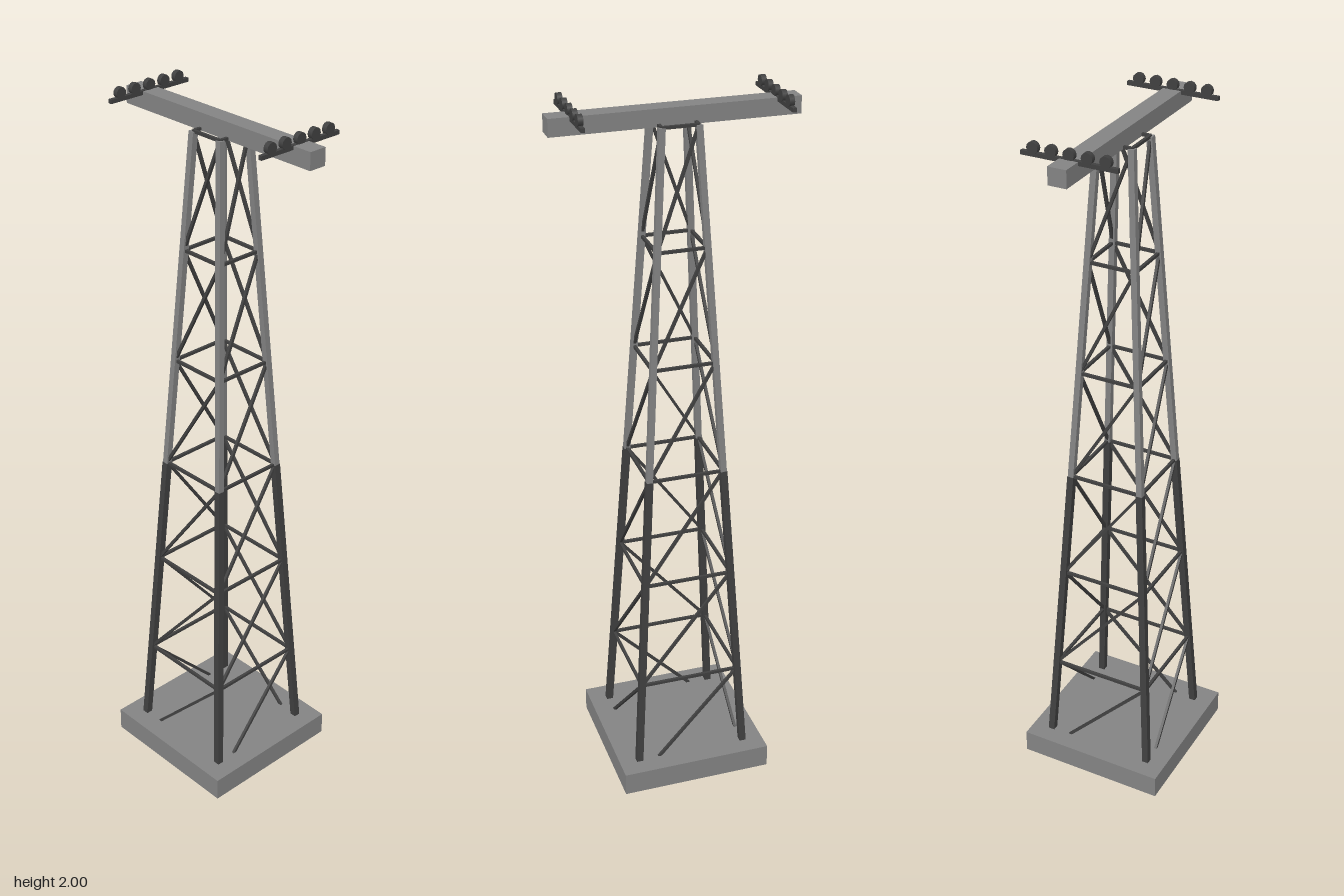
import * as THREE from 'three';

const steel = new THREE.MeshStandardMaterial({ color: 0x838383 });
steel.name = 'grey steel';
const dark = new THREE.MeshStandardMaterial({ color: 0x404040 });
dark.name = 'dark steel';

function box(name, w, h, d, x, y, z, material) {
  const mesh = new THREE.Mesh(new THREE.BoxGeometry(w, h, d), material);
  mesh.name = name;
  mesh.position.set(x, y, z);
  return mesh;
}

// Square bar running from a to b
function bar(name, a, b, size, material) {
  const dir = b.clone().sub(a);
  const mesh = new THREE.Mesh(new THREE.BoxGeometry(size, dir.length(), size), material);
  mesh.name = name;
  mesh.position.copy(a).add(b).multiplyScalar(0.5);
  mesh.quaternion.setFromUnitVectors(new THREE.Vector3(0, 1, 0), dir.normalize());
  return mesh;
}

const HEIGHT = 1.93;
const PANELS = 6;
const SIGNS = [[-1, 1], [1, 1], [1, -1], [-1, -1]];

// Centre of a leg at a given level of the tapering tower
function corner(i, level) {
  const t = level / PANELS;
  const r = THREE.MathUtils.lerp(0.164, 0.049, t);
  const [sx, sz] = SIGNS[i % 4];
  return new THREE.Vector3(sx * r, t * HEIGHT, sz * r);
}

export function createModel() {
  const model = new THREE.Group();
  model.name = 'liftTower';

  // Foundation slab
  model.add(box('base', 0.438, 0.068, 0.438, 0, 0.036, 0, steel));

  // Legs, dark below and grey above, with rails and one diagonal per panel on each face
  for (let i = 0; i < 4; i++) {
    model.add(bar('lowerLeg', corner(i, 0), corner(i, PANELS / 2), 0.019, dark));
    model.add(bar('upperLeg', corner(i, PANELS / 2), corner(i, PANELS), 0.017, steel));
    for (let k = 0; k < PANELS; k++) {
      model.add(bar('diagonalBrace', corner(i, k), corner(i + 1, k + 1), 0.008, dark));
      model.add(bar('horizontalBrace', corner(i, k + 1), corner(i + 1, k + 1), 0.008, dark));
    }
  }

  // Cross arm
  model.add(box('crossArm', 0.666, 0.047, 0.051, 0, 1.949, 0, steel));

  // Roller assemblies at both ends of the arm
  const wheel = new THREE.CylinderGeometry(0.0155, 0.0155, 0.014, 12).rotateZ(Math.PI / 2);
  for (const x of [-0.272, 0.272]) {
    const rollers = new THREE.Group();
    rollers.name = 'rollerAssembly';
    rollers.position.set(x, 0, 0);
    rollers.add(box('rollerRail', 0.011, 0.011, 0.262, 0, 1.9685, 0, dark));
    for (let i = -2; i <= 2; i++) {
      const mesh = new THREE.Mesh(wheel, dark);
      mesh.name = 'roller';
      mesh.position.set(0, 1.9845, i * 0.049);
      rollers.add(mesh);
    }
    model.add(rollers);
  }
  return model;
}
